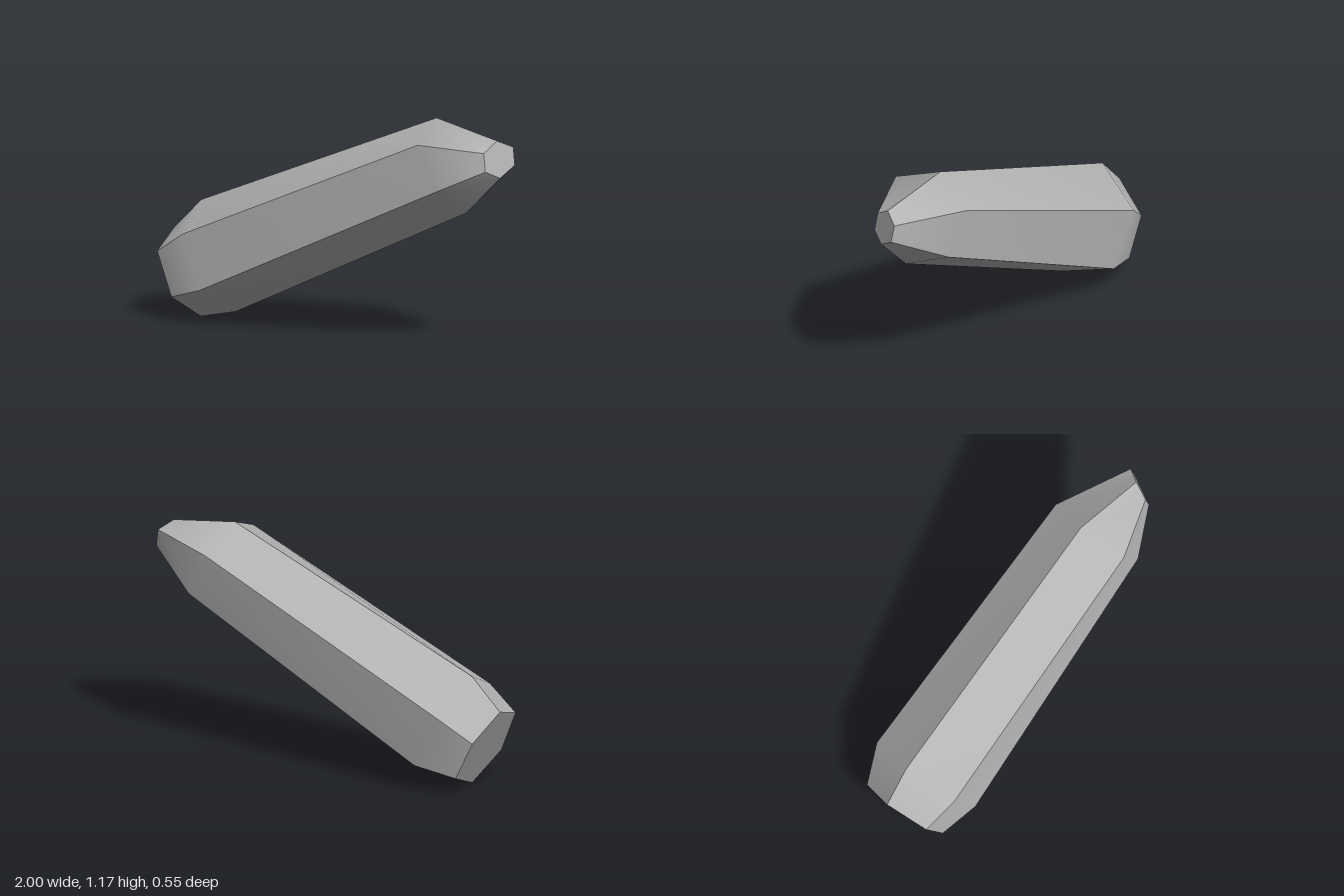
import * as THREE from 'three';

// Four hexagonal cross-sections from base to tip; corners run
// top, front upper, front lower, bottom, back lower, back upper.
const rings = [
  [[-1, 0.42, -0.03], [-0.965, 0.35, 0.19], [-0.865, 0.13, 0.22], [-0.805, 0, 0.03], [-0.84, 0.09, -0.2], [-0.94, 0.29, -0.205]],
  [[-0.84, 0.585, -0.035], [-0.79, 0.465, 0.235], [-0.67, 0.195, 0.275], [-0.595, 0.05, 0.04], [-0.63, 0.14, -0.25], [-0.77, 0.42, -0.275]],
  [[0.55, 1.17, -0.005], [0.585, 1.08, 0.243], [0.69, 0.85, 0.252], [0.76, 0.715, 0.06], [0.72, 0.81, -0.175], [0.61, 1.04, -0.21]],
  [[0.935, 1.105, 0.05], [0.905, 1.052, 0.132], [0.92, 0.96, 0.142], [0.965, 0.92, 0.07], [1, 0.975, -0.015], [0.985, 1.065, -0.025]],
];

function makeGeometry(points, index) {
  const g = new THREE.BufferGeometry();
  g.setAttribute('position', new THREE.Float32BufferAttribute(points.flat(), 3));
  g.setIndex(index);
  g.computeVertexNormals();
  return g;
}

export function createModel() {
  const crystal = new THREE.Group();
  crystal.name = 'crystal';
  const stone = new THREE.MeshStandardMaterial({ color: 0xb4b4b4 });
  stone.name = 'grey stone';

  const add = (name, geometry) => {
    const mesh = new THREE.Mesh(geometry, stone);
    mesh.name = name;
    crystal.add(mesh);
  };

  // Long facets: smooth along their length, sharp where they meet
  const names = ['topFront', 'front', 'bottomFront', 'bottomBack', 'back', 'topBack'];
  names.forEach((name, side) => {
    const points = rings.flatMap((ring) => [ring[side], ring[(side + 1) % 6]]);
    const index = [];
    for (let r = 0; r < rings.length - 1; r++) {
      const a = r * 2;
      index.push(a, a + 1, a + 3, a, a + 3, a + 2);
    }
    add(name + 'Facet', makeGeometry(points, index));
  });

  // Flat hexagonal ends
  const fan = [0, 1, 2, 0, 2, 3, 0, 3, 4, 0, 4, 5];
  add('baseEnd', makeGeometry(rings[0], [...fan].reverse()));
  add('tipEnd', makeGeometry(rings[3], fan));

  return crystal;
}
